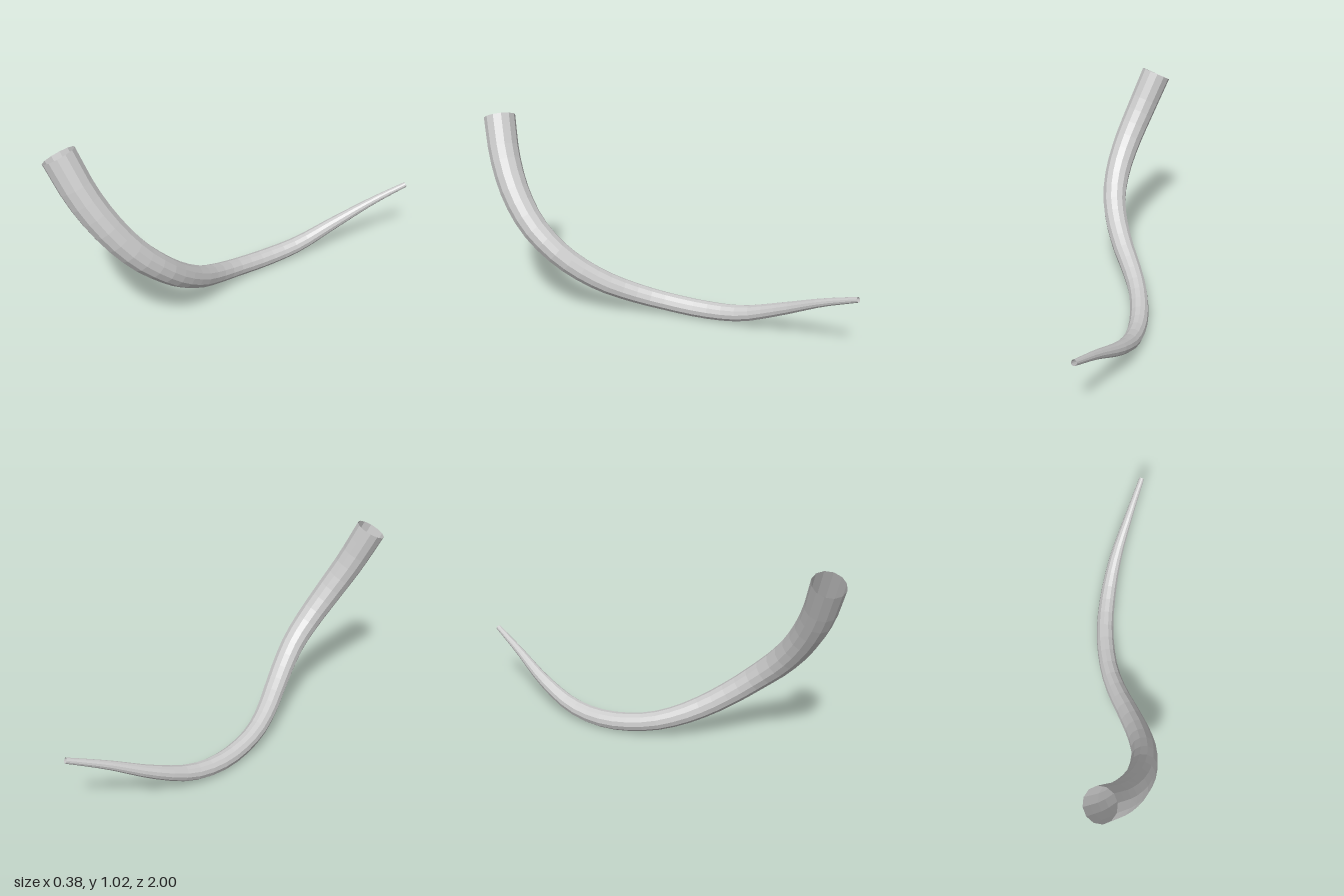
import * as THREE from 'three';

// Centreline stations from the wide open root to the thin tip: x, y, z, radius
const STATIONS = [
  [-0.118, 0.99, 0.918, 0.081],
  [-0.035, 0.80, 0.862, 0.078],
  [0.04, 0.63, 0.778, 0.074],
  [0.088, 0.49, 0.675, 0.069],
  [0.102, 0.38, 0.562, 0.064],
  [0.085, 0.29, 0.455, 0.061],
  [0.04, 0.195, 0.315, 0.057],
  [-0.015, 0.125, 0.17, 0.052],
  [-0.053, 0.079, 0.02, 0.048],
  [-0.066, 0.051, -0.2, 0.047],
  [-0.042, 0.07, -0.4, 0.043],
  [0.01, 0.15, -0.6, 0.034],
  [0.1, 0.265, -0.82, 0.021],
  [0.174, 0.343, -0.992, 0.014],
];
const SEGMENTS = 32;
const SIDES = 12;

// Tube of unit radius whose rings are shrunk to the tapering radius
function taperedTube(stations) {
  const curve = new THREE.CatmullRomCurve3(stations.map(([x, y, z]) => new THREE.Vector3(x, y, z)));
  const geometry = new THREE.TubeGeometry(curve, SEGMENTS, 1, SIDES, false);
  const position = geometry.attributes.position;
  const vertex = new THREE.Vector3();
  for (let i = 0; i <= SEGMENTS; i++) {
    const u = i / SEGMENTS;
    const centre = curve.getPointAt(u);
    const s = curve.getUtoTmapping(u) * (stations.length - 1);
    const k = Math.min(Math.floor(s), stations.length - 2);
    const radius = THREE.MathUtils.lerp(stations[k][3], stations[k + 1][3], s - k);
    for (let j = 0; j <= SIDES; j++) {
      const index = i * (SIDES + 1) + j;
      vertex.fromBufferAttribute(position, index).sub(centre).multiplyScalar(radius).add(centre);
      position.setXYZ(index, vertex.x, vertex.y, vertex.z);
    }
  }
  geometry.computeVertexNormals();
  return geometry;
}

export function createModel() {
  const group = new THREE.Group();
  group.name = 'curvedTail';

  const grey = new THREE.MeshStandardMaterial({ color: 0xcccccc, flatShading: true, side: THREE.DoubleSide });
  grey.name = 'light grey';

  // Open-ended tail
  const tail = new THREE.Mesh(taperedTube(STATIONS), grey);
  tail.name = 'tail';
  group.add(tail);
  return group;
}
